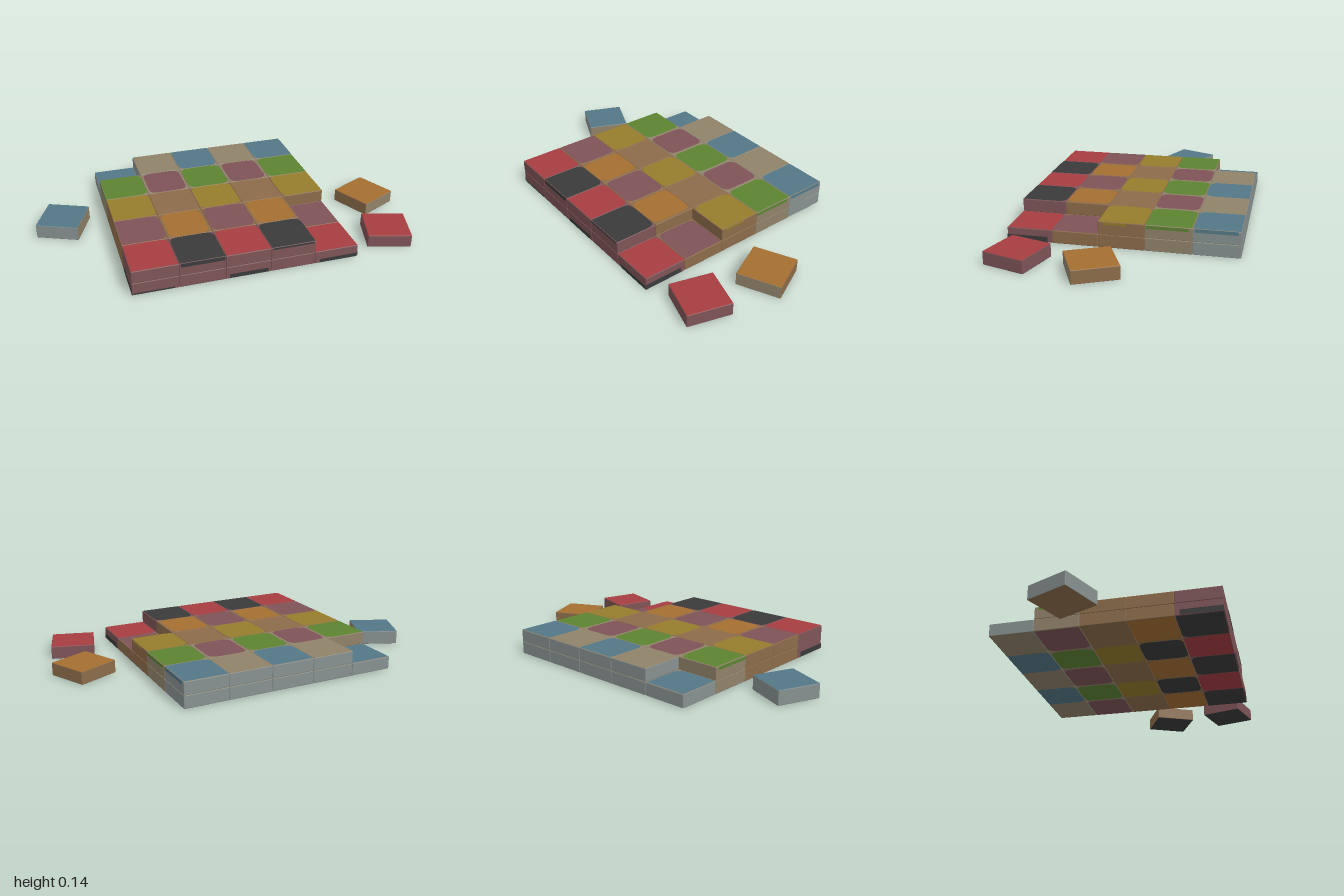
import * as THREE from 'three';
import { RoundedBoxGeometry } from 'three/addons/geometries/RoundedBoxGeometry.js';

const mat = (name, color) => {
  const m = new THREE.MeshStandardMaterial({ color });
  m.name = name;
  return m;
};

export function createModel() {
  const M = {
    blue: mat('blue', 0x547887),
    green: mat('green', 0x5c8331),
    red: mat('red', 0xa53d41),
    charcoal: mat('charcoal', 0x3a3a3a),
    mauve: mat('mauve', 0x7e5457),
    beige: mat('beige', 0x908269),
    yellow: mat('yellow', 0x957c2b),
    brown: mat('brown', 0x8c6c4a),
    orange: mat('orange', 0xa46e31),
    grey: mat('grey', 0x879190),
  };

  // Tile grid: five rows from back to front, two alternating colours per row
  const P = 0.235, H = 0.068, X0 = -0.022, Z0 = -0.003, SKIN = 0.001;
  const TOP = [['blue', 'beige'], ['green', 'mauve'], ['yellow', 'brown'], ['mauve', 'orange'], ['red', 'charcoal']];
  const BOTTOM = [['beige', 'blue'], ['mauve', 'green'], ['brown', 'yellow'], ['orange', 'charcoal'], ['charcoal', 'red']];
  const SIDE = ['grey', 'beige', 'brown', 'brown', 'mauve'];
  const RIM = ['beige', 'beige', 'brown', 'brown', 'mauve'];
  const gx = (c) => X0 + (c - 2) * P;
  const gz = (r) => Z0 + (r - 2) * P;

  // Block with side colours, plus separate top and bottom colours
  function block(size, h, sides, top, bottom) {
    const s = sides.map((k) => M[k]); // +x, -x, front, back
    const g = new RoundedBoxGeometry(size, h, size, 1, 0.004);
    return new THREE.Mesh(g, [s[0], s[1], M[top], M[bottom], s[2], s[3]]);
  }

  // Flat painted patch, corners given as radii: back left, back right, front right, front left
  function patch(w, d, [a, b, c, e], material, up) {
    const x = w / 2, y = d / 2;
    const s = new THREE.Shape();
    s.moveTo(-x + a, y);
    s.lineTo(x - b, y);
    s.quadraticCurveTo(x, y, x, y - b);
    s.lineTo(x, -y + c);
    s.quadraticCurveTo(x, -y, x - c, -y);
    s.lineTo(-x + e, -y);
    s.quadraticCurveTo(-x, -y, -x, -y + e);
    s.lineTo(-x, y - a);
    s.quadraticCurveTo(-x, y, -x + a, y);
    const g = new THREE.ShapeGeometry(s, 6);
    g.rotateX(-Math.PI / 2);
    if (!up) { // flip over to face down
      g.rotateX(Math.PI);
      g.scale(1, 1, 1);
    }
    return new THREE.Mesh(g, material);
  }

  function gridTile(r, c, layer) {
    const tile = new THREE.Group();
    tile.name = layer ? 'upperTile' : 'lowerTile';
    const y0 = SKIN + layer * H;
    const side = SIDE[r];
    const back = r === 0 ? 'grey' : SIDE[r];
    const body = block(P, H, [side, side, side, back], RIM[r], RIM[r]);
    body.name = 'tileBody';
    body.position.y = y0 + H / 2;
    tile.add(body);

    const soft = (dr, dc) => {
      const outer = r + dr < 0 || r + dr > 4 || c + dc < 0 || c + dc > 4;
      return outer ? 0.004 : 0.045;
    };
    const w = c % 2 && r > 0 && r < 4 ? 0.21 : 0.229;
    const addPatch = (key, up) => {
      const corners = up
        ? [soft(-1, -1), soft(-1, 1), soft(1, 1), soft(1, -1)]
        : [soft(1, -1), soft(1, 1), soft(-1, 1), soft(-1, -1)];
      const p = patch(w, 0.229, corners, M[key], up);
      p.name = up ? 'topPatch' : 'bottomPatch';
      p.position.y = up ? y0 + H + SKIN : 0;
      tile.add(p);
    };
    addPatch(TOP[r][c % 2], true);
    if (!layer) addPatch(BOTTOM[r][c % 2], false);
    tile.position.set(gx(c), 0, gz(r));
    return tile;
  }

  const model = new THREE.Group();
  model.name = 'tileBoard';

  // Two layers; three tiles are missing from the upper one
  const missing = ['0,0', '3,4', '4,4'];
  for (let layer = 0; layer < 2; layer++) {
    for (let r = 0; r < 5; r++) {
      for (let c = 0; c < 5; c++) {
        if (layer && missing.includes(`${r},${c}`)) continue;
        model.add(gridTile(r, c, layer));
      }
    }
  }

  // Loose tiles lying beside the board
  const loose = [
    ['looseBlueTile', -0.85, -0.127, -0.405, 0.077, 'blue', ['beige', 'grey', 'grey', 'grey'], 'brown'],
    ['looseOrangeTile', 0.845, 0.07, 0.445, 0.07, 'orange', ['brown', 'brown', 'beige', 'brown'], 'charcoal'],
    ['looseRedTile', 0.797, 0.445, -0.285, 0.07, 'red', ['mauve', 'mauve', 'mauve', 'mauve'], 'charcoal'],
  ];
  for (const [name, x, z, turn, h, top, sides, bottom] of loose) {
    const t = block(0.229, h, sides, top, bottom);
    t.name = name;
    t.position.set(x, h / 2, z);
    t.rotation.y = turn;
    model.add(t);
  }

  // Worn paint along the outer walls: wall, centre along it, centre height, length, height, colour
  const wear = [
    ['front', -0.255, 0.126, 0.22, 0.02, 'charcoal'],
    ['front', 0.21, 0.131, 0.22, 0.009, 'charcoal'],
    ['front', -0.02, 0.015, 0.2, 0.022, 'charcoal'],
    ['front', 0.46, 0.013, 0.2, 0.02, 'charcoal'],
    ['front', -0.5, 0.008, 0.2, 0.008, 'charcoal'],
    ['right', 0.48, 0.018, 0.21, 0.028, 'charcoal'],
    ['right', -0.23, 0.126, 0.21, 0.016, 'green'],
    ['right', 0.03, 0.128, 0.12, 0.012, 'yellow'],
    ['right', -0.47, 0.127, 0.21, 0.018, 'blue'],
    ['left', 0.48, 0.018, 0.21, 0.028, 'charcoal'],
    ['left', -0.23, 0.126, 0.21, 0.016, 'green'],
  ];
  const half = 2.5 * P;
  for (const [wall, u, y, len, h, key] of wear) {
    const m = new THREE.Mesh(new THREE.BoxGeometry(len, h, 0.002), M[key]);
    m.name = 'wornPaint';
    if (wall === 'front') m.position.set(u, y, Z0 + half);
    else {
      m.rotation.y = Math.PI / 2;
      m.position.set(X0 + (wall === 'right' ? half : -half), y, u);
    }
    model.add(m);
  }
  return model;
}
